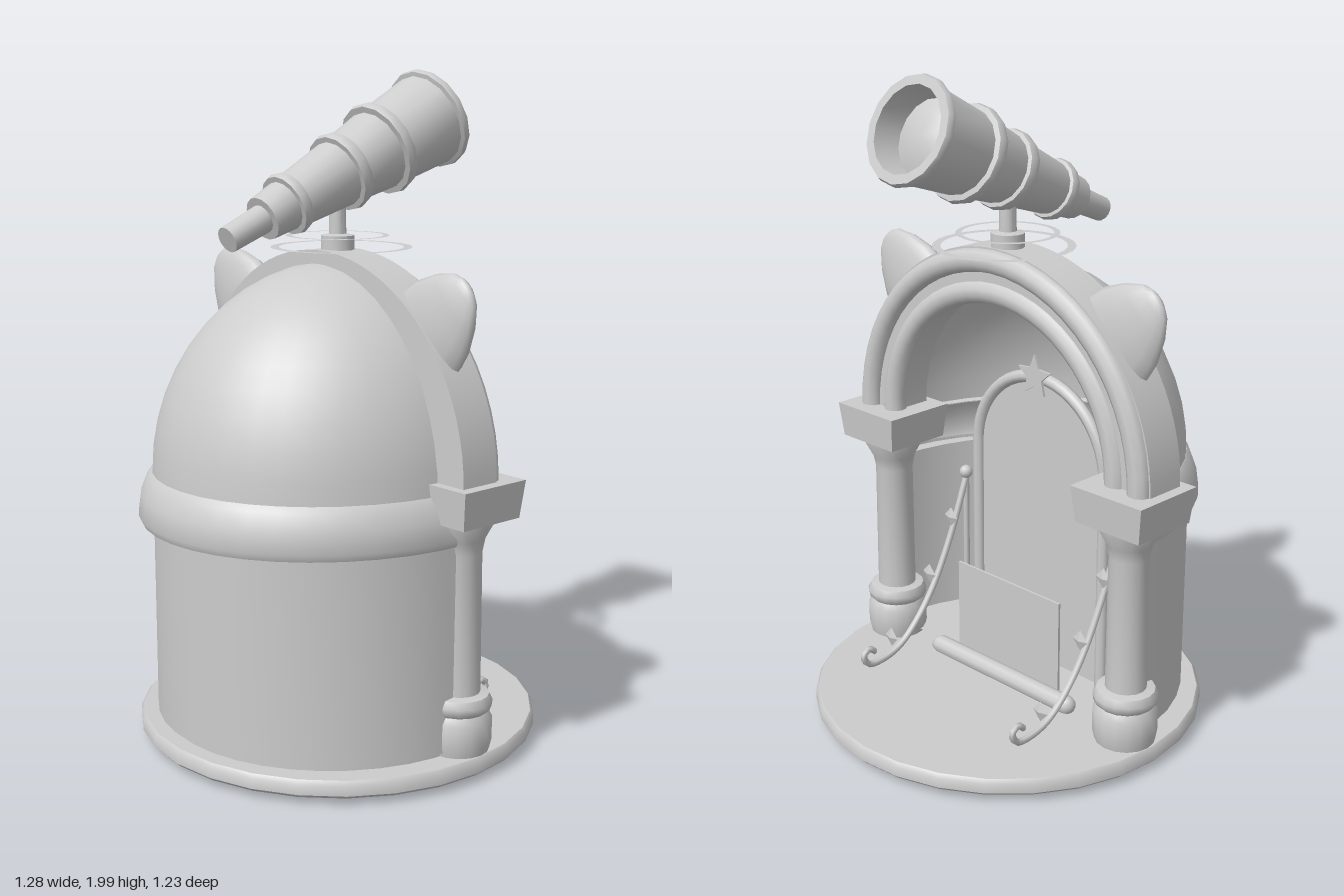
import * as THREE from 'three';
import { toCreasedNormals } from 'three/addons/utils/BufferGeometryUtils.js';

export function createModel() {
  const model = new THREE.Group();
  const stone = new THREE.MeshStandardMaterial({ color: 0xcccccc, side: THREE.DoubleSide });
  stone.name = 'plain grey';

  const add = (name, geometry, x = 0, y = 0, z = 0, parent = model) => {
    const mesh = new THREE.Mesh(geometry, stone);
    mesh.name = name;
    mesh.position.set(x, y, z);
    parent.add(mesh);
    return mesh;
  };
  const v2 = (pts) => pts.map(([a, b]) => new THREE.Vector2(a, b));
  const lathe = (pts, sides = 24, start = 0, length = Math.PI * 2) =>
    toCreasedNormals(new THREE.LatheGeometry(v2(pts), sides, start, length), 0.75);
  const frontHalf = (pts) => lathe(pts, 20, -Math.PI / 2, Math.PI);
  const extrude = (shape, depth, bevel = 0) => new THREE.ExtrudeGeometry(shape, {
    depth, curveSegments: 20, bevelEnabled: bevel > 0, bevelSize: bevel, bevelThickness: bevel, bevelSegments: 2,
  });
  const tube = (pts, radius, segments = 32) => new THREE.TubeGeometry(
    new THREE.CatmullRomCurve3(pts.map((p) => new THREE.Vector3(...p))), segments, radius, 6);
  const starShape = (r) => {
    const pts = [];
    for (let i = 0; i < 10; i++) {
      const a = Math.PI / 2 + i * Math.PI / 5, q = i % 2 ? r * 0.45 : r;
      pts.push([q * Math.cos(a), q * Math.sin(a)]);
    }
    return new THREE.Shape(v2(pts));
  };

  // Round base and inner floor
  add('base', lathe([[0, 0.02], [0.6, 0.02], [0.61, 0.03], [0.61, 0.06], [0.6, 0.072], [0, 0.072]], 28));
  add('innerFloor', frontHalf([[0.55, 0.07], [0.55, 0.086], [0, 0.086]])).scale.x = 0.96;

  // Half-round wall, its lip and the half dome
  add('wall', frontHalf([[0.565, 0.085], [0.565, 0.7]])).scale.x = 0.955;
  add('domeLip', frontHalf([[0.56, 0.69], [0.615, 0.69], [0.624, 0.71], [0.615, 0.77],
    [0.595, 0.82], [0.58, 0.835], [0.56, 0.83]])).scale.x = 0.885;
  const domePts = [];
  for (let i = 0; i <= 12; i++) {
    const a = i / 12 * Math.PI / 2;
    domePts.push([0.58 * Math.cos(a), 0.82 + 0.62 * Math.sin(a)]);
  }
  add('dome', frontHalf(domePts)).scale.x = 0.885;

  // Entrance arch with two round mouldings at the back
  const arch = new THREE.Shape();
  arch.absarc(0, 0, 0.605, 0, Math.PI, false);
  arch.absarc(0, 0, 0.45, Math.PI, 0, true);
  add('arch', toCreasedNormals(extrude(arch, 0.13), 0.5), 0, 0.87, -0.055);
  for (const [r, t, z] of [[0.565, 0.036, -0.053], [0.47, 0.036, -0.04]]) {
    add('archMoulding', new THREE.TorusGeometry(r, t, 10, 28, Math.PI), 0, 0.87, z);
  }

  for (const s of [-1, 1]) {
    // Column and capital
    add('column', lathe([[0.09, 0.07], [0.097, 0.1], [0.097, 0.17], [0.085, 0.19], [0.095, 0.2],
      [0.098, 0.22], [0.088, 0.24], [0.062, 0.245], [0.06, 0.66], [0.068, 0.7], [0.095, 0.75], [0.095, 0.78]], 16),
    s * 0.507, 0, -0.02);
    const capital = new THREE.BoxGeometry(0.26, 0.11, 0.24);
    const p = capital.attributes.position;
    for (let i = 0; i < p.count; i++) if (p.getY(i) < 0) p.setXYZ(i, p.getX(i) * 0.9, p.getY(i), p.getZ(i) * 0.92);
    capital.computeVertexNormals();
    add('capital', capital, s * 0.51, 0.818, -0.016);

    // Flattened rounded ear on the arch
    const ear = add('ear', lathe([[0.15, -0.06], [0.15, 0], [0.135, 0.07], [0.1, 0.14], [0.06, 0.19],
      [0.03, 0.207], [0, 0.212]], 16), s * 0.405, 1.27, 0.017);
    ear.rotation.z = -s * Math.PI / 4;
    ear.scale.z = 0.36;

    // Sweeping handrail with a curled foot
    const rail = new THREE.Group();
    rail.name = 'handrail';
    rail.position.x = s * 0.333;
    model.add(rail);
    add('railTube', tube([[0, 0.62, 0.14], [0, 0.42, 0.06], [0, 0.27, -0.02], [0, 0.17, -0.1], [0, 0.115, -0.17],
      [0, 0.095, -0.24], [0, 0.1, -0.3], [0, 0.135, -0.318], [0, 0.152, -0.295], [0, 0.135, -0.272]], 0.011, 48),
    0, 0, 0, rail);
    add('railPost', new THREE.CylinderGeometry(0.01, 0.01, 0.55, 8), 0, 0.35, 0.14, rail);
    add('postKnob', new THREE.SphereGeometry(0.022, 10, 8), 0, 0.64, 0.14, rail);
    for (const [y, z] of [[0.16, -0.2], [0.33, -0.03], [0.5, 0.07]]) {
      const spike = add('railSpike', new THREE.OctahedronGeometry(0.033), 0, y, z, rail);
      spike.scale.set(0.9, 1, 0.3);
    }
  }

  // Arched door with round frame and star
  const door = new THREE.Shape();
  door.moveTo(-0.27, 0.08);
  door.lineTo(0.27, 0.08);
  door.lineTo(0.27, 0.77);
  door.absarc(0, 0.77, 0.27, 0, Math.PI, false);
  add('door', extrude(door, 0.02), 0, 0, 0.14);
  add('doorFrameArch', new THREE.TorusGeometry(0.27, 0.02, 8, 24, Math.PI), 0, 0.77, 0.14);
  for (const s of [-1, 1]) add('doorFramePost', new THREE.CylinderGeometry(0.02, 0.02, 0.69, 8), s * 0.27, 0.425, 0.14);
  add('doorStar', extrude(starShape(0.07), 0.008), 0, 1.05, 0.112);

  // Door step and upright board
  const step = add('doorStep', new THREE.CapsuleGeometry(0.03, 0.56, 4, 10), 0, 0.09, -0.03);
  step.rotation.z = Math.PI / 2;
  add('board', new THREE.BoxGeometry(0.44, 0.4, 0.008), 0, 0.2, 0);

  // Flat ornaments on the base: band, stars and cloud
  const flat = (name, geometry, x, y, z) => {
    add(name, geometry, x, y, z).rotation.x = -Math.PI / 2;
  };
  flat('floorBand', new THREE.RingGeometry(0.515, 0.56, 20, 1, 0.25, Math.PI - 0.5), 0, 0.0735, 0);
  for (const [x, z] of [[-0.23, -0.49], [-0.45, -0.28], [0.45, -0.25]]) {
    flat('floorStar', new THREE.ShapeGeometry(starShape(0.05)), x, 0.075, z);
  }
  for (const [x, z, r] of [[-0.1, -0.34, 0.07], [0, -0.37, 0.1], [0.1, -0.34, 0.075], [0, -0.31, 0.08]]) {
    flat('cloud', new THREE.CircleGeometry(r, 16), x, 0.086, z - 0.02);
  }

  // Telescope mount with floating rings
  add('mount', lathe([[0.05, 1.46], [0.05, 1.515], [0.026, 1.52], [0.024, 1.67]], 14));
  flat('largeRing', new THREE.RingGeometry(0.185, 0.21, 32), 0, 1.48, -0.015);
  flat('smallRing', new THREE.RingGeometry(0.135, 0.153, 32), 0, 1.515, 0);

  // Stepped telescope with collars and a recessed lens
  const scope = add('telescope', lathe([[0, 0], [0.038, 0], [0.042, 0.13], [0.042, 0.135], [0.065, 0.135], [0.074, 0.22],
    [0.09, 0.22], [0.094, 0.235], [0.09, 0.25], [0.08, 0.252], [0.1, 0.435],
    [0.116, 0.435], [0.12, 0.452], [0.116, 0.47], [0.104, 0.472], [0.121, 0.6],
    [0.14, 0.6], [0.144, 0.615], [0.14, 0.632], [0.124, 0.635], [0.142, 0.825],
    [0.155, 0.828], [0.157, 0.84], [0.152, 0.852], [0.125, 0.852], [0.112, 0.77], [0.07, 0.79], [0, 0.8]], 16),
  0, 1.525, 0.405);
  scope.rotation.x = -1.175;

  return model;
}
